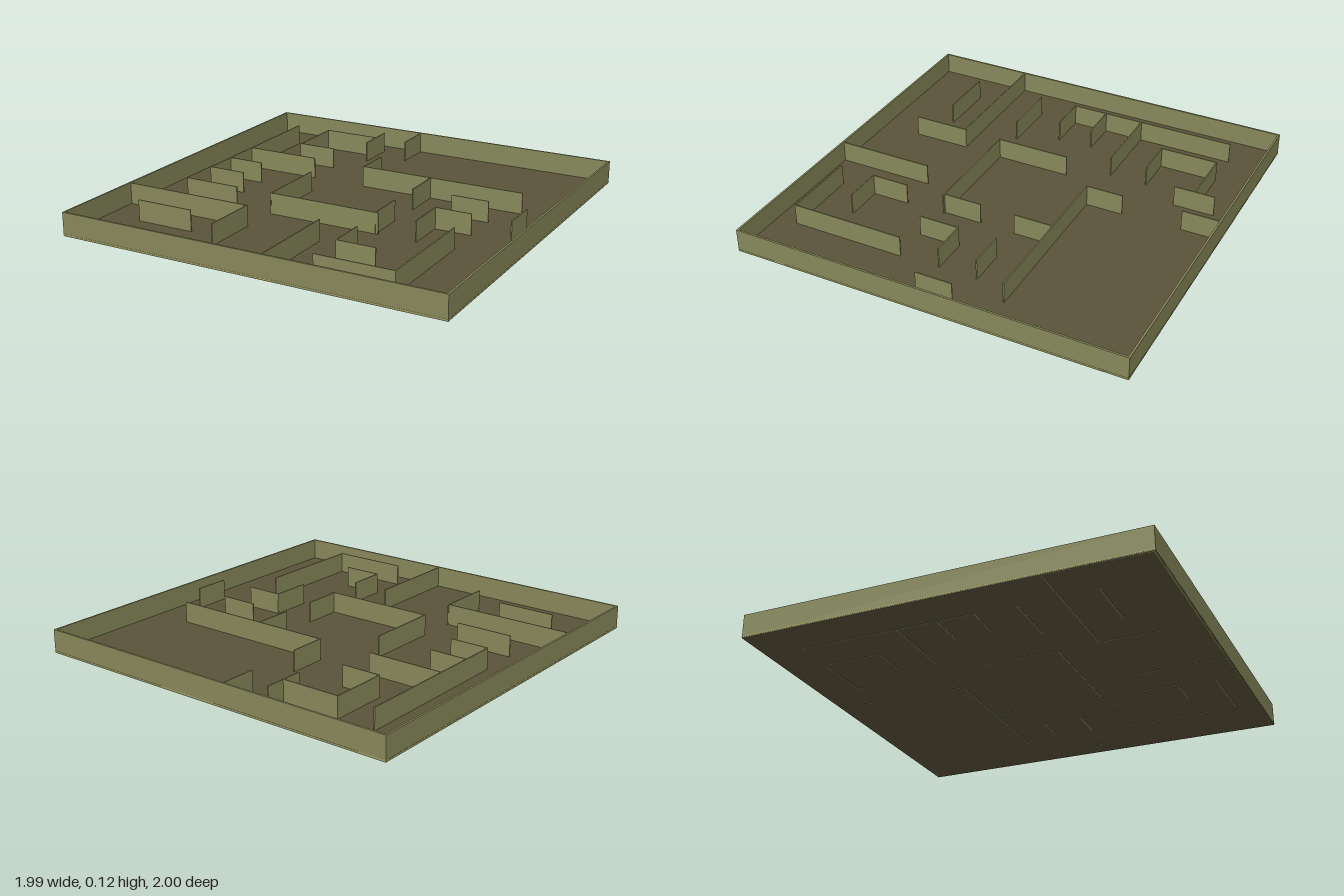
import * as THREE from 'three';

export function createModel() {
  const group = new THREE.Group();
  const material = (name, color) => {
    const m = new THREE.MeshStandardMaterial({ color });
    m.name = name;
    return m;
  };
  const olive = material('olive wall', 0x86885a);
  const brown = material('brown floor', 0x5b5339);
  const pale = material('pale olive trim', 0x9c9c60);

  const box = (name, mat, x0, x1, y0, y1, z0, z1) => {
    const mesh = new THREE.Mesh(new THREE.BoxGeometry(x1 - x0, y1 - y0, z1 - z0), mat);
    mesh.position.set((x0 + x1) / 2, (y0 + y1) / 2, (z0 + z1) / 2);
    mesh.name = name;
    group.add(mesh);
  };

  const H = 0.122, X = 0.996, Z = 1, T = 0.01;

  // Floor slab, lifted slightly so the wall feet show underneath
  box('floor', brown, -X + 0.002, X - 0.002, 0.002, 0.012, -Z + 0.002, Z - 0.002);

  // Outer walls with a narrow trim along the foot
  for (const s of [-1, 1]) {
    const x = s * (X - T / 2), z = s * (Z - T / 2);
    box('outerSideWall', olive, x - T / 2, x + T / 2, 0.002, H, -Z, Z);
    box('outerEndWall', olive, -X + T, X - T, 0.002, H, z - T / 2, z + T / 2);
    box('sideTrim', pale, s * X - 0.001, s * X + 0.001, 0.006, 0.012, -Z, Z);
    box('endTrim', pale, -X, X, 0.006, 0.012, s * Z - 0.001, s * Z + 0.001);
  }

  // Inner walls running across: z, start x, end x
  const across = [
    [-0.797, -0.595, -0.288], [-0.499, -0.595, -0.387], [-0.303, -0.789, -0.39],
    [-0.099, -0.789, -0.595], [0.083, -0.789, -0.587], [0.289, -0.789, -0.49],
    [0.495, -0.99, -0.3], [0.68, -0.795, -0.49], [0.286, -0.293, 0.3],
    [-0.303, -0.096, 0.787], [-0.113, 0.495, 0.69], [0.087, 0.5, 0.69],
    [0.685, 0.299, 0.5], [0.877, 0.295, 0.693],
  ];
  // Inner walls running front to back: x, start z, end z
  const along = [
    [-0.107, -0.99, -0.8], [-0.288, -0.9, -0.69], [-0.592, -0.797, -0.499],
    [-0.789, -0.8, 0.083], [-0.293, -0.1, 0.29], [0.284, 0.085, 0.29],
    [-0.096, -0.495, -0.303], [0.288, -0.303, -0.1], [0.89, -0.1, 0.09],
    [0.501, 0.087, 0.295], [0.693, 0.29, 0.88], [0.299, 0.49, 0.685],
    [0.101, 0.49, 0.99], [-0.299, 0.49, 0.785],
  ];
  const t = 0.003;
  for (const [z, a, b] of across) box('crossWall', olive, a, b, 0, H - 0.002, z - t, z + t);
  for (const [x, a, b] of along) box('lengthWall', olive, x - t, x + t, 0, H - 0.003, a, b);

  return group;
}
